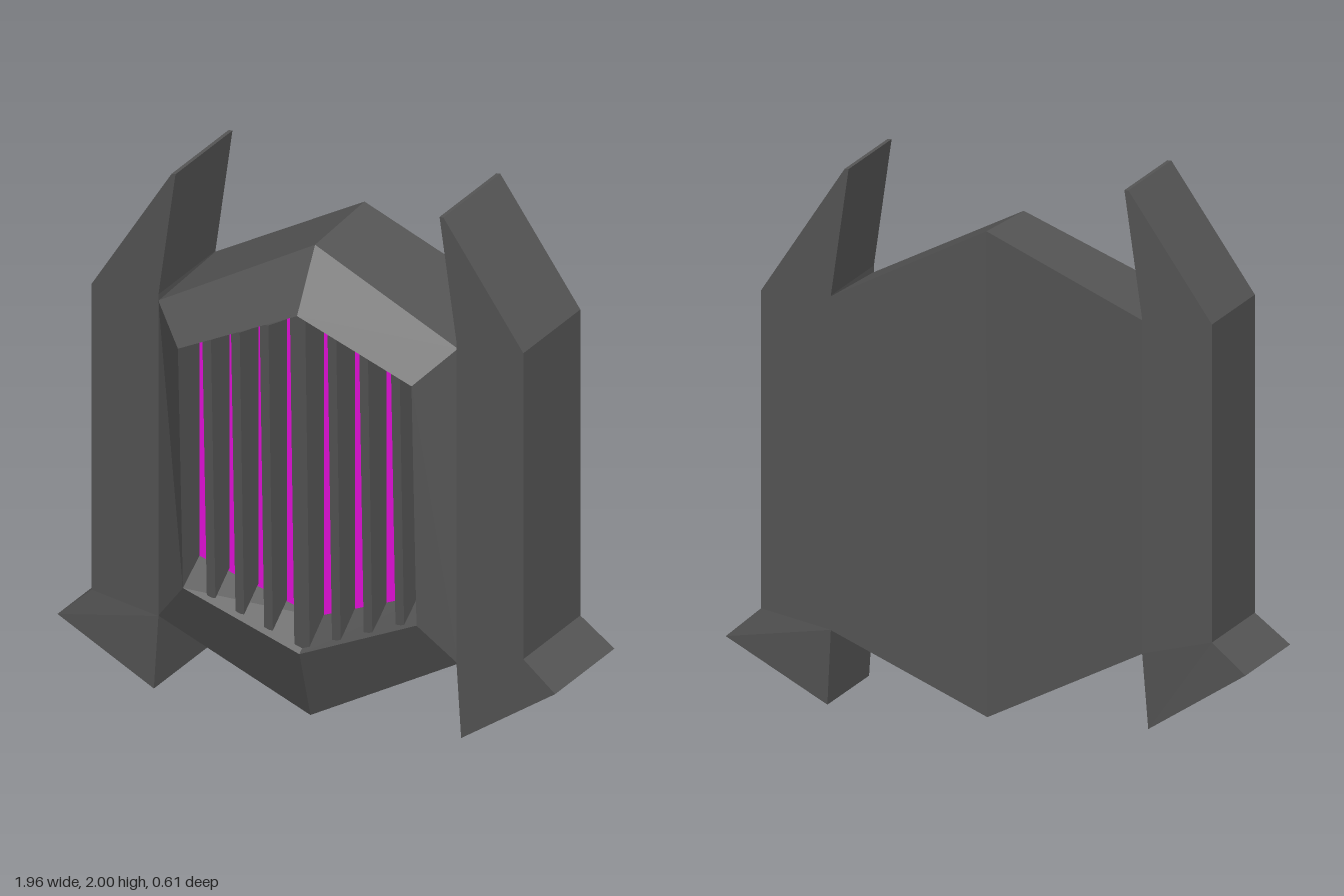
import * as THREE from 'three';

const dark = new THREE.MeshStandardMaterial({ color: 0x555555, flatShading: true });
const glow = new THREE.MeshStandardMaterial({ color: 0xe60fdc, flatShading: true });

// Skins a stack of equal-length rings; rings run counter-clockwise about the stacking direction
function loft(name, rings, material, capStart = true, capEnd = true) {
  const pos = [];
  const tri = (a, b, c) => pos.push(...a, ...b, ...c);
  const n = rings[0].length;
  for (let r = 0; r < rings.length - 1; r++) {
    const a = rings[r], b = rings[r + 1];
    for (let i = 0; i < n; i++) {
      const j = (i + 1) % n;
      tri(a[i], a[j], b[j]);
      tri(a[i], b[j], b[i]);
    }
  }
  const first = rings[0], last = rings[rings.length - 1];
  for (let i = 1; i < n - 1; i++) {
    if (capStart) tri(first[0], first[i + 1], first[i]);
    if (capEnd) tri(last[0], last[i], last[i + 1]);
  }
  const g = new THREE.BufferGeometry();
  g.setAttribute('position', new THREE.Float32BufferAttribute(pos, 3));
  g.computeVertexNormals();
  const mesh = new THREE.Mesh(g, material);
  mesh.name = name;
  return mesh;
}

// Symmetric hexagon: [y, z] of top point, top corner, bottom corner, bottom point
const hexagon = (x, [ty, tz], [uy, uz], [ly, lz], [by, bz]) => [
  [0, by, bz], [x, ly, lz], [x, uy, uz], [0, ty, tz], [-x, uy, uz], [-x, ly, lz],
];

// Four-cornered ring of a side fin, seen from below
const finRing = (xi, yi, xo, yo, zi, zo) => [
  [xi, yi, zi[0]], [xo, yo, zo[0]], [xo, yo, zo[1]], [xi, yi, zi[1]],
];

// Ring on the slanted foot face between t0 and t1, sunk inward by depth
function footRing(t0, t1, z, depth) {
  const x = t => 0.605 + 0.375 * t - 0.52 * depth;
  const y = t => 0.02 + 0.23 * t + 0.85 * depth;
  return finRing(x(t0), y(t0), x(t1), y(t1), z, z);
}

const mirrored = rings => rings.map(r => r.map(([x, y, z]) => [-x, y, z]).reverse());

export function createModel() {
  const model = new THREE.Group();
  model.name = 'grilledPod';

  // Body shell with a bevelled front frame and a recess
  const recess = hexagon(0.46, [1.53, 0.12], [1.365, 0.12], [0.525, 0.12], [0.365, 0.12]);
  model.add(loft('body', [
    hexagon(0.59, [1.81, -0.295], [1.525, -0.295], [0.3, -0.295], [0.02, -0.285]),
    hexagon(0.59, [1.79, 0.13], [1.505, 0.19], [0.3, 0.19], [0.005, 0.17]),
    hexagon(0.46, [1.57, 0.285], [1.38, 0.305], [0.45, 0.262], [0.27, 0.265]),
    recess,
  ], dark, true, false));
  model.add(loft('glowPanel', [recess], glow, false, true));

  // Upright grille bars, cut to the slope of the recess floor and roof
  const grille = new THREE.Group();
  grille.name = 'grille';
  const bars = [-0.358, -0.245, -0.132, 0, 0.135, 0.26, 0.385];
  bars.forEach(x => {
    const w = x === 0 ? 0.03 : 0.017;
    const ring = (yBack, yFront, zFront) => [
      [x - w, yBack, 0.11], [x - w, yFront, zFront],
      [x + w, yFront, zFront], [x + w, yBack, 0.11],
    ];
    const low = 0.39 * Math.abs(x), high = 0.4 * Math.abs(x);
    grille.add(loft('grilleBar', [
      ring(0.365 + low, 0.283 + low, 0.242),
      ring(1.535 - high, 1.567 - high, 0.28),
    ], dark));
  });
  model.add(grille);

  // Side fins, each with a flared foot and a sunken glowing vent
  const z = [-0.295, 0.195];
  const vent = footRing(0.26, 0.7, [-0.165, 0.075], 0.115);
  const fin = [
    finRing(0.52, 2, 0.535, 2, z, z),
    finRing(0.587, 1.53, 0.85, 1.53, z, z),
    finRing(0.587, 0.3, 0.85, 0.36, z, z),
    finRing(0.605, 0.02, 0.98, 0.25, [-0.28, 0.195], [-0.305, 0.205]),
    footRing(0.22, 0.74, [-0.18, 0.09], 0),
    vent,
  ];
  for (const side of ['left', 'right']) {
    const place = rings => (side === 'left' ? rings : mirrored(rings));
    model.add(loft(side + 'Fin', place(fin), dark, true, false));
    model.add(loft(side + 'VentGlow', place([vent]), glow, false, true));
  }

  return model;
}
